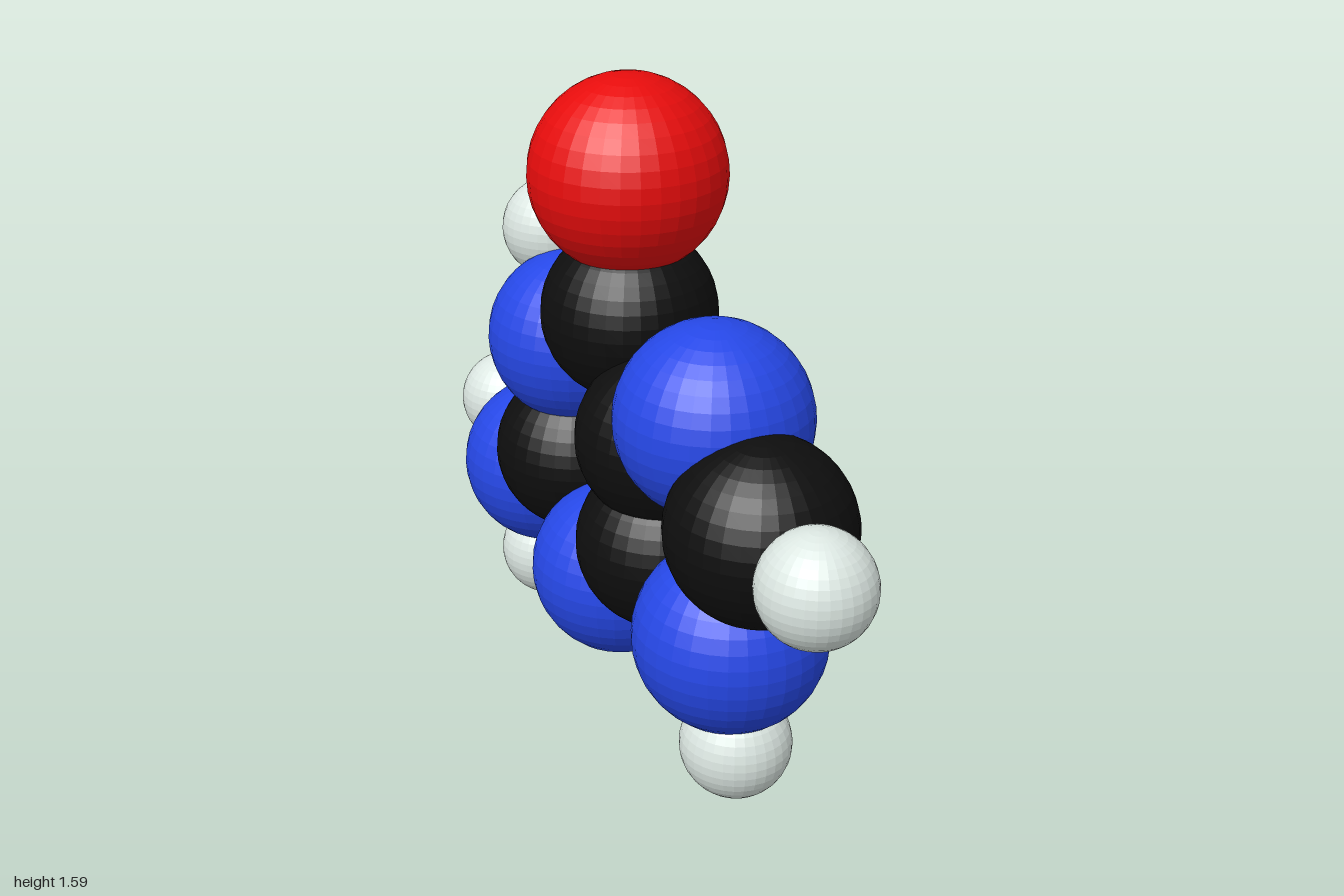
import * as THREE from 'three';

const material = (name, color) => {
  const m = new THREE.MeshStandardMaterial({ color, flatShading: true });
  m.name = name;
  return m;
};

export function createModel() {
  const model = new THREE.Group();
  model.name = 'molecule';

  // One ball size and colour per element
  const elements = {
    oxygen: { radius: 0.23, mat: material('red', 0xee0d0d) },
    nitrogen: { radius: 0.22, mat: material('blue', 0x2648e8) },
    carbon: { radius: 0.208, mat: material('black', 0x0e0e0e) },
    hydrogen: { radius: 0.127, mat: material('paleGrey', 0xdde8e3) },
  };
  for (const e of Object.values(elements)) e.geo = new THREE.SphereGeometry(e.radius, 32, 20);

  // Overlapping atoms: element, part name, centre
  const atoms = [
    ['oxygen', 'topOxygen', -0.043, 1.36, -0.017],
    // six-sided ring
    ['carbon', 'topRingCarbon', -0.04, 1.026, -0.019],
    ['nitrogen', 'upperRingNitrogen', -0.361, 0.84, -0.122],
    ['carbon', 'sideRingCarbon', -0.358, 0.53, -0.12],
    ['nitrogen', 'lowerRingNitrogen', -0.094, 0.327, -0.036],
    ['carbon', 'lowerSharedCarbon', 0.163, 0.53, 0.05],
    ['carbon', 'upperSharedCarbon', 0.163, 0.797, 0.05],
    // five-sided ring
    ['nitrogen', 'upperOuterNitrogen', 0.415, 0.957, 0.137],
    ['carbon', 'outerCarbon', 0.636, 0.8, 0.206],
    ['nitrogen', 'lowerOuterNitrogen', 0.51, 0.478, 0.165],
    // side group
    ['nitrogen', 'sideGroupNitrogen', -0.581, 0.39, -0.197],
    // outer hydrogens
    ['hydrogen', 'upperHydrogen', -0.513, 1.07, -0.174],
    ['hydrogen', 'sideGroupOuterHydrogen', -0.873, 0.443, -0.291],
    ['hydrogen', 'sideGroupLowerHydrogen', -0.573, 0.127, -0.19],
    ['hydrogen', 'outerHydrogen', 0.873, 0.793, 0.284],
    ['hydrogen', 'lowerHydrogen', 0.547, 0.222, 0.178],
  ];
  for (const [element, name, x, y, z] of atoms) {
    const { geo, mat } = elements[element];
    const atom = new THREE.Mesh(geo, mat);
    atom.name = name;
    atom.position.set(x, y, z);
    model.add(atom);
  }
  return model;
}
